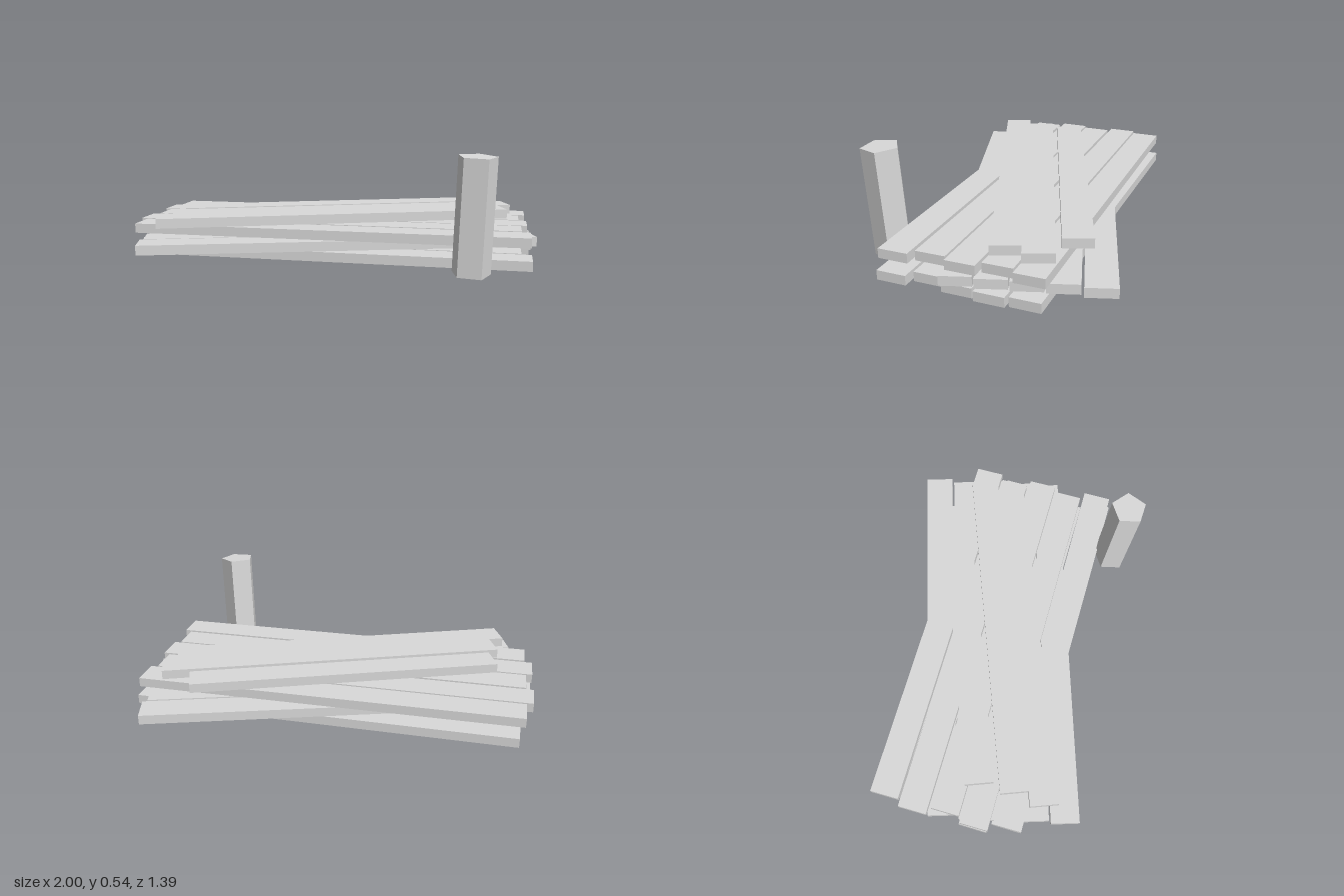
import * as THREE from 'three';

const THICK = 0.046, PITCH = 0.0517, BASE = 0.0335;

// Each layer: turn in degrees, plank width, and planks as [along, across, length]
const LAYERS = [
  { turn: 2.5, width: 0.143, planks: [
    [0.014, -0.314, 1.9], [0.027, -0.157, 1.9], [0.01, 0, 1.9], [-0.027, 0.154, 1.9], [0.02, 0.311, 1.9]] },
  { turn: 20.7, width: 0.143, planks: [
    [0.037, -0.306, 1.9], [0.014, -0.152, 1.9], [0.004, 0, 1.9], [-0.007, 0.15, 1.9], [-0.022, 0.301, 1.9]] },
  { turn: 3.1, width: 0.143, planks: [
    [-0.003, -0.314, 1.9], [-0.036, -0.16, 1.9], [0, -0.003, 1.9], [-0.03, 0.151, 1.9], [0.008, 0.311, 1.9]] },
  { turn: 24, width: 0.142, planks: [
    [-0.003, -0.162, 1.537], [0.037, 0.007, 1.734], [-0.036, 0.145, 1.738]] },
];

// Hollow plank: a box with its underside left open
function plankGeometry(length, width) {
  const box = new THREE.BoxGeometry(length, THICK, width);
  const index = Array.from(box.index.array);
  index.splice(18, 6); // the underside is the fourth face
  box.setIndex(index);
  box.clearGroups();
  return box;
}

export function createModel() {
  const model = new THREE.Group();
  model.name = 'plankStack';
  const grey = new THREE.MeshStandardMaterial({ color: 0xd9d9d9, side: THREE.DoubleSide });
  grey.name = 'plain grey';

  // Layers of planks, alternately turned
  LAYERS.forEach(({ turn, width, planks }, i) => {
    const layer = new THREE.Group();
    layer.name = `plankLayer${i + 1}`;
    layer.position.y = BASE + i * PITCH;
    layer.rotation.y = THREE.MathUtils.degToRad(turn);
    planks.forEach(([along, across, length], j) => {
      const plank = new THREE.Mesh(plankGeometry(length, width), grey);
      plank.name = `plank${j + 1}`;
      plank.position.set(along, 0, across);
      layer.add(plank);
    });
    model.add(layer);
  });

  // Five-sided post leaning slightly outward, one corner facing back
  const postShape = new THREE.CylinderGeometry(0.091, 0.091, 0.528, 5, 1, false, Math.PI).toNonIndexed();
  postShape.computeVertexNormals();
  const post = new THREE.Mesh(postShape, grey);
  post.name = 'post';
  const lean = new THREE.Vector3(0.021, 0.528, 0.023).normalize();
  post.quaternion.setFromUnitVectors(new THREE.Vector3(0, 1, 0), lean);
  post.position.set(0.729, 0.268, 0.44);
  model.add(post);

  return model;
}
